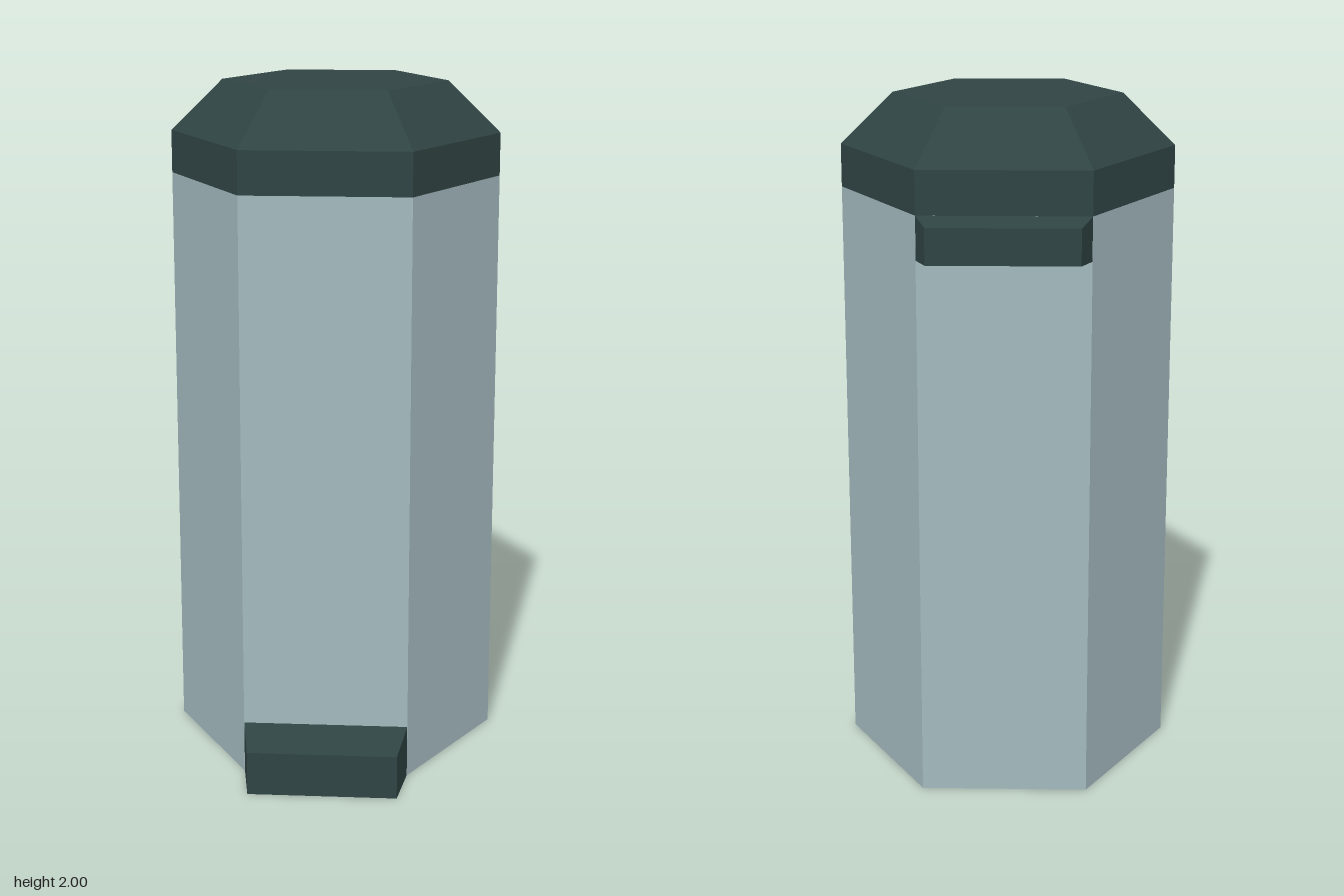
import * as THREE from 'three';

const CENTRE_Z = -0.026;

// Flat-faced skin through matching rings (counter-clockwise seen from the last one).
// Group 0 holds the first side and the start cap, group 1 everything else.
function loft(rings, capStart, capEnd) {
  const first = [], rest = [];
  const n = rings[0].length;
  for (let r = 0; r < rings.length - 1; r++) {
    const a = rings[r], b = rings[r + 1];
    for (let i = 0; i < n; i++) {
      const j = (i + 1) % n;
      (i === 0 ? first : rest).push(a[i], a[j], b[j], a[i], b[j], b[i]);
    }
  }
  const start = rings[0], end = rings[rings.length - 1];
  for (let i = 1; i < n - 1; i++) {
    if (capStart) first.push(start[0], start[i + 1], start[i]);
    if (capEnd) rest.push(end[0], end[i], end[i + 1]);
  }
  const geometry = new THREE.BufferGeometry().setFromPoints([...first, ...rest]);
  geometry.computeVertexNormals();
  geometry.addGroup(0, first.length, 0);
  geometry.addGroup(first.length, rest.length, 1);
  return geometry;
}

// Horizontal hexagon with corners on the x axis
function hexRing(radius, y) {
  return Array.from({ length: 6 }, (_, i) => {
    const a = (i * Math.PI) / 3;
    return new THREE.Vector3(radius * Math.cos(a), y, CENTRE_Z - radius * Math.sin(a));
  });
}

// Upright rectangle facing +z
function rectRing(halfWidth, bottom, top, z) {
  return [[-1, bottom], [1, bottom], [1, top], [-1, top]]
    .map(([s, y]) => new THREE.Vector3(s * halfWidth, y, z));
}

export function createModel() {
  const shell = new THREE.MeshStandardMaterial({ color: 0xa3b9be });
  shell.name = 'pale grey-blue shell';
  const trim = new THREE.MeshStandardMaterial({ color: 0x304444 });
  trim.name = 'dark green trim';

  const model = new THREE.Group();
  model.name = 'pedalBin';
  const add = (name, geometry, materials) => {
    const mesh = new THREE.Mesh(geometry, materials);
    mesh.name = name;
    model.add(mesh);
    return mesh;
  };

  // Hexagonal bin body, closed underneath
  add('body', loft([hexRing(0.483, 0), hexRing(0.483, 1.725)], true, false), [shell, shell]);

  // Lid: straight rim, sloped shoulder and flat top
  add('lid', loft([hexRing(0.483, 1.725), hexRing(0.483, 1.85), hexRing(0.33, 2)], false, true), [trim, trim]);

  // Tapered foot pedal at the front, with a pale underside
  add('pedal', loft([rectRing(0.241, 0, 0.155, 0.392), rectRing(0.217, 0, 0.13, 0.547)], false, true), [shell, trim]);

  // Tapered handle at the back
  const handle = add('handle', loft([rectRing(0.241, 1.6, 1.725, 0.444), rectRing(0.21, 1.61, 1.713, 0.547)], false, true), [trim, trim]);
  handle.rotation.y = Math.PI;

  return model;
}
